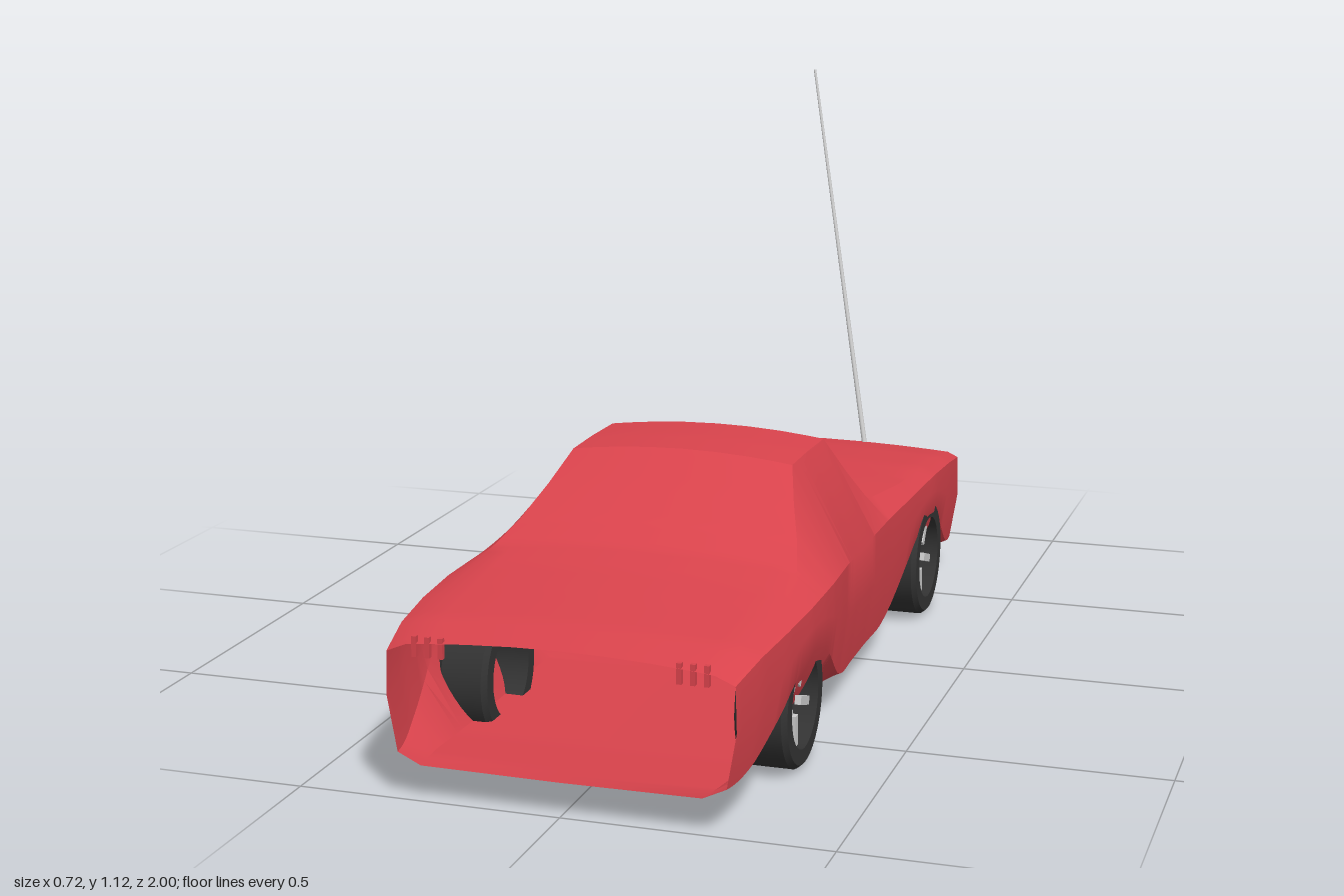
import * as THREE from 'three';
import { toCreasedNormals } from 'three/addons/utils/BufferGeometryUtils.js';

const RED = 0xd9434c;
const AXLES = [0.63, -0.36];
const WHEEL_R = 0.125;

// Stations along the body: z, top height, roof-edge half width, shoulder half width, shoulder height
const STATIONS = [
  [-0.74, 0.28, 0.295, 0.318, 0.258],
  [-0.6, 0.305, 0.305, 0.33, 0.28],
  [-0.4, 0.327, 0.31, 0.341, 0.3],
  [-0.2, 0.341, 0.305, 0.338, 0.3],
  [-0.03, 0.352, 0.285, 0.332, 0.297],
  [0.035, 0.425, 0.255, 0.331, 0.295],
  [0.1, 0.505, 0.225, 0.33, 0.293],
  [0.22, 0.507, 0.225, 0.332, 0.293],
  [0.325, 0.505, 0.225, 0.337, 0.298],
  [0.4, 0.45, 0.25, 0.345, 0.304],
  [0.48, 0.395, 0.28, 0.352, 0.308],
  [0.55, 0.365, 0.3, 0.355, 0.31],
  [0.65, 0.349, 0.308, 0.356, 0.309],
  [0.78, 0.335, 0.305, 0.35, 0.304],
  [0.9, 0.323, 0.298, 0.338, 0.295],
  [1.0, 0.305, 0.285, 0.322, 0.274],
];

// 0 away from the wheels, 1 above an axle
function archAt(z) {
  return AXLES.reduce((h, a) => {
    const d = Math.abs(z - a);
    return d < 0.37 ? Math.max(h, 0.5 + 0.5 * Math.cos(Math.PI * d / 0.37)) : h;
  }, 0);
}

// Right half of one cross-section, floor centre to top centre
function halfSection([z, top, tx, sx, sy]) {
  const arch = archAt(z);
  const nose = Math.max(0, (z - 0.8) / 0.2);
  const floor = 0.055 + 0.01 * nose;
  const low = 0.066 + 0.155 * arch + 0.022 * nose;
  const pts = [[0, floor], [sx - 0.06 - 0.02 * arch, floor + 0.002],
    [sx - 0.016 * (1 - arch), low], [sx + 0.002, low + (sy - low) * 0.55], [sx, sy]];
  const drop = Math.min(0.016, (top - sy) * 0.5);
  for (const k of [1, 0.85, 0.6, 0.3, 0]) pts.push([tx * k, top - drop * k * k]);
  return pts;
}

// Open-ended body shell lofted through the stations
function bodyGeometry() {
  const rows = [];
  const steps = 5;
  for (let i = 0; i < STATIONS.length - 1; i++) {
    for (let s = 0; s < steps; s++) {
      rows.push(STATIONS[i].map((v, k) => v + (STATIONS[i + 1][k] - v) * s / steps));
    }
  }
  rows.push(STATIONS[STATIONS.length - 1]);
  const pos = [], index = [];
  let n = 0;
  rows.forEach((row, i) => {
    const half = halfSection(row);
    const ring = half.concat(half.slice(1, -1).reverse().map(([x, y]) => [-x, y]));
    n = ring.length;
    ring.forEach(([x, y]) => pos.push(x, y, row[0]));
    if (i === 0) return;
    for (let j = 0; j < n; j++) {
      const a = (i - 1) * n + j, b = (i - 1) * n + (j + 1) % n;
      index.push(a, b, a + n, b, b + n, a + n);
    }
  });
  const geo = new THREE.BufferGeometry();
  geo.setAttribute('position', new THREE.Float32BufferAttribute(pos, 3));
  geo.setIndex(index);
  return toCreasedNormals(geo, 0.5);
}

function part(name, geo, material) {
  const mesh = new THREE.Mesh(geo, material);
  mesh.name = name;
  return mesh;
}

// Round rod between two points
function rod(name, from, to, r0, r1, material) {
  const a = new THREE.Vector3(...from), b = new THREE.Vector3(...to);
  const mesh = part(name, new THREE.CylinderGeometry(r1, r0, a.distanceTo(b), 8), material);
  mesh.position.copy(a).add(b).multiplyScalar(0.5);
  mesh.quaternion.setFromUnitVectors(new THREE.Vector3(0, 1, 0), b.sub(a).normalize());
  return mesh;
}

// Wheel with its axis on x, outer face towards +x
function makeWheel(tyreMat, metal) {
  const wheel = new THREE.Group();
  const R = WHEEL_R, w = 0.05;
  const profile = [[0.088, -w], [R - 0.008, -w], [R, -w + 0.01], [R, w - 0.01],
    [R - 0.008, w], [0.088, w], [0.088, -w]].map(([r, y]) => new THREE.Vector2(r, y));
  const tyre = part('tyre', toCreasedNormals(new THREE.LatheGeometry(profile, 40), 0.5), tyreMat);
  tyre.rotation.z = -Math.PI / 2;
  wheel.add(tyre);
  for (let i = 0; i < 5; i++) {
    const arm = new THREE.Group();
    const spoke = part('spoke', new THREE.BoxGeometry(0.012, 0.062, 0.017), metal);
    spoke.position.set(0.028, 0.06, 0);
    arm.add(spoke);
    arm.rotation.x = i * Math.PI * 2 / 5 + Math.PI;
    wheel.add(arm);
  }
  return wheel;
}

export function createModel() {
  const model = new THREE.Group();
  model.name = 'car';
  const paint = new THREE.MeshStandardMaterial({ color: RED, side: THREE.DoubleSide });
  const tyreMat = new THREE.MeshStandardMaterial({ color: 0x333333, side: THREE.DoubleSide });
  const metal = new THREE.MeshStandardMaterial({ color: 0xcccccc });

  model.add(part('bodyShell', bodyGeometry(), paint));

  for (const side of [1, -1]) {
    // Wheels
    AXLES.forEach((z, i) => {
      const wheel = makeWheel(tyreMat, metal);
      wheel.name = i === 0 ? 'frontWheel' : 'rearWheel';
      wheel.position.set(side * 0.29, WHEEL_R, z);
      if (side < 0) wheel.rotation.y = Math.PI;
      model.add(wheel);
    });
    // Small upright bars on the nose edge
    for (const x of [0.22, 0.245, 0.27]) {
      const bar = part('noseBar', new THREE.BoxGeometry(0.009, 0.038, 0.01), paint);
      bar.position.set(side * x, 0.286, 0.994);
      model.add(bar);
    }
    // Pegs under the rear deck
    model.add(rod('rearPeg', [side * 0.1, 0.225, -0.73], [side * 0.1, 0.278, -0.73], 0.004, 0.004, metal));
  }

  // Leaning whip aerial
  model.add(rod('aerial', [0.1, 0.265, -0.727], [-0.104, 1.12, -0.998], 0.006, 0.003, metal));
  return model;
}
